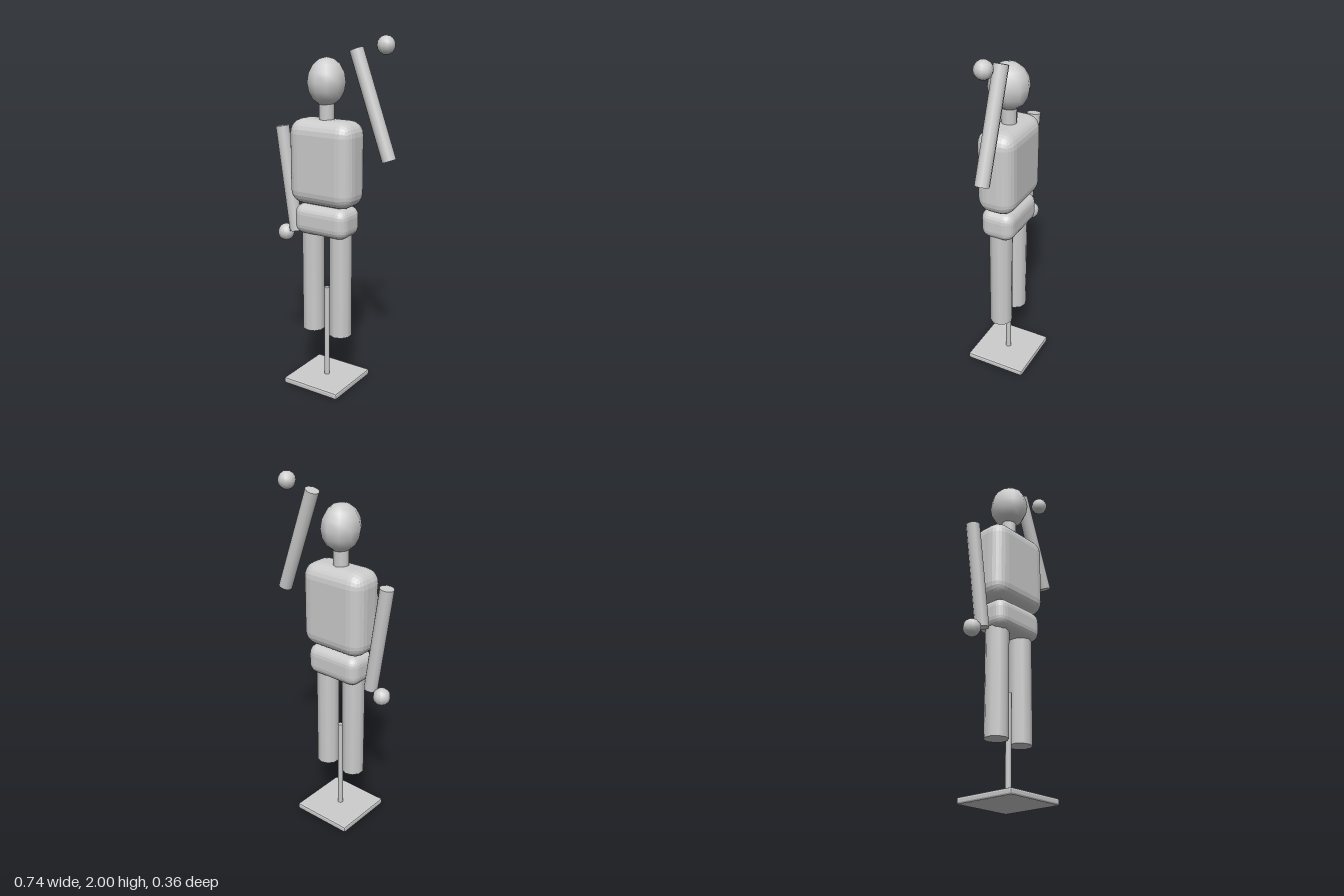
import * as THREE from 'three';
import { RoundedBoxGeometry } from 'three/addons/geometries/RoundedBoxGeometry.js';

export function createModel() {
  const model = new THREE.Group();
  const grey = new THREE.MeshStandardMaterial({ color: 0xcccccc });
  grey.name = 'grey';
  const SIDES = 10;
  const CX = -0.036; // body axis

  function add(name, geometry, x, y, z) {
    const mesh = new THREE.Mesh(geometry, grey);
    mesh.name = name;
    mesh.position.set(x, y, z);
    model.add(mesh);
    return mesh;
  }

  // Faceted block with rounded edges
  function block(name, w, h, d, segments, radius, y) {
    const geometry = new RoundedBoxGeometry(w, h, d, segments, radius);
    geometry.computeVertexNormals(); // unshared corners give flat facets
    return add(name, geometry, CX, y, 0);
  }

  // Smooth rod between two points
  function rod(name, from, to, radius) {
    const a = new THREE.Vector3(...from);
    const b = new THREE.Vector3(...to);
    const dir = b.clone().sub(a);
    const mid = a.clone().add(b).multiplyScalar(0.5);
    const mesh = add(name, new THREE.CylinderGeometry(radius, radius, dir.length(), SIDES), mid.x, mid.y, mid.z);
    mesh.quaternion.setFromUnitVectors(new THREE.Vector3(0, 1, 0), dir.normalize());
    return mesh;
  }

  // Ball with a vertex column facing forward
  function ball(name, rx, ry, rz, x, y, z) {
    const geometry = new THREE.SphereGeometry(1, SIDES, 8).rotateY(Math.PI / 2);
    geometry.scale(rx, ry, rz);
    return add(name, geometry, x, y, z);
  }

  // Stand
  block('standBase', 0.364, 0.036, 0.364, 1, 0.01, 0.021);
  rod('standPole', [CX, 0.03, 0], [CX, 0.59, 0], 0.016);

  // Legs
  for (const side of [-1, 1]) {
    const x = CX + side * 0.092;
    rod(side < 0 ? 'rightLeg' : 'leftLeg', [x, 0.32, 0], [x, 0.94, 0], 0.0655);
  }

  // Body
  block('pelvis', 0.34, 0.172, 0.196, 3, 0.056, 0.996);
  block('torso', 0.402, 0.475, 0.22, 3, 0.08, 1.319);

  // Neck and head
  rod('neck', [CX, 1.52, 0], [CX, 1.66, 0], 0.043);
  ball('head', 0.104, 0.128, 0.115, CX, 1.755, 0);

  // Lowered right arm and hand
  rod('rightArm', [-0.247, 0.897, 0], [-0.334, 1.495, 0], 0.0395);
  ball('rightHand', 0.049, 0.049, 0.049, -0.321, 0.873, 0);

  // Raised left arm and hand
  rod('leftArm', [0.329, 1.361, -0.04], [0.122, 1.926, -0.04], 0.0395);
  ball('leftHand', 0.049, 0.049, 0.049, 0.297, 1.952, -0.04);

  return model;
}
